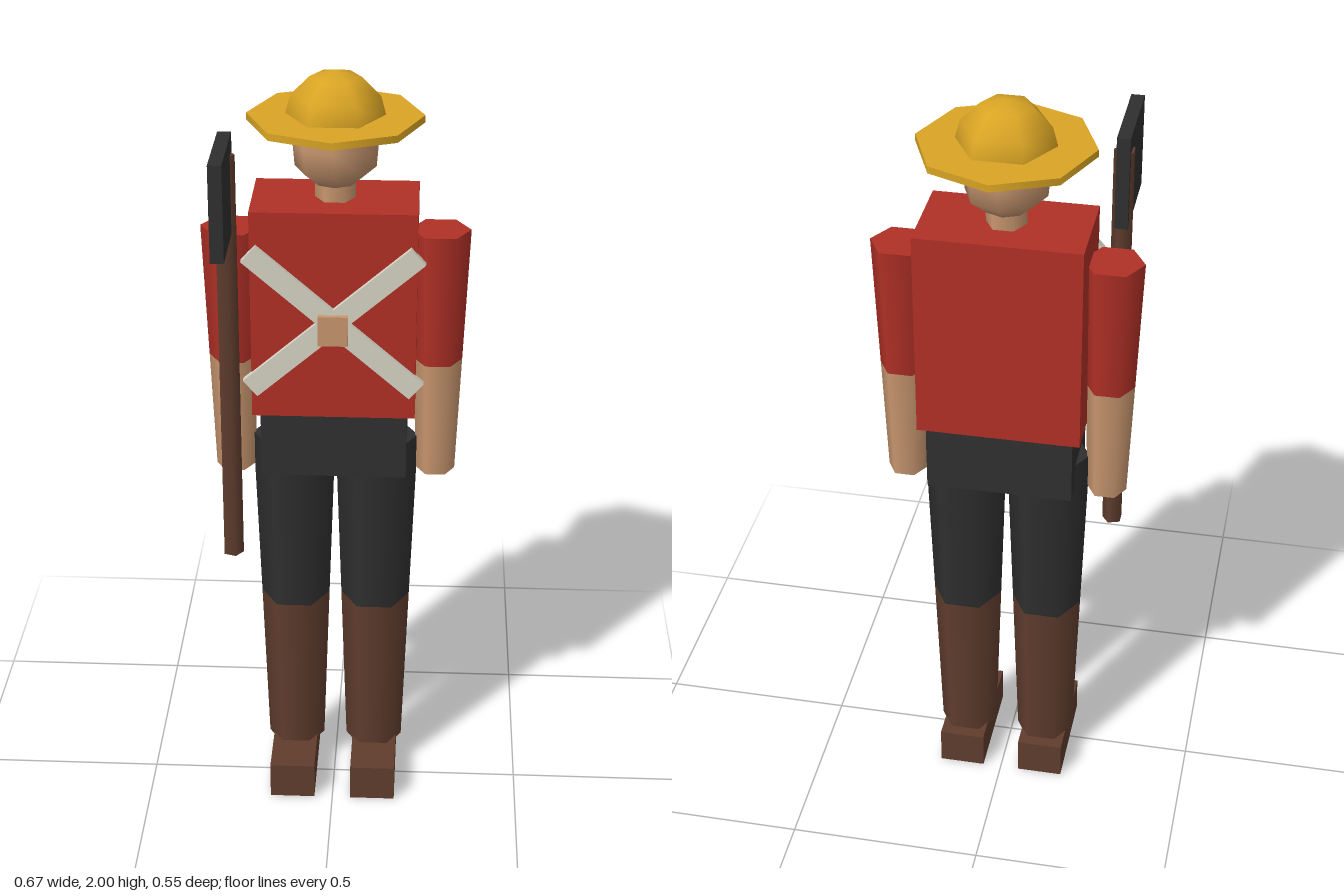
import * as THREE from 'three';

function mat(name, color) {
  const m = new THREE.MeshStandardMaterial({ color });
  m.name = name;
  return m;
}

export function createModel() {
  const root = new THREE.Group();
  root.name = 'figure';
  const red = mat('red cloth', 0xb03026);
  const dark = mat('charcoal', 0x2f2f2f);
  const brown = mat('brown leather', 0x603d2e);
  const skin = mat('skin', 0xc8966f);
  const gold = mat('straw gold', 0xdaa524);
  const strap = mat('pale strap', 0xd6d2c4);
  const Z = -0.06; // depth of the body's axis

  function add(name, geometry, material, x, y, z) {
    const mesh = new THREE.Mesh(geometry, material);
    mesh.name = name;
    mesh.position.set(x, y, z);
    root.add(mesh);
    return mesh;
  }
  const box = (name, m, w, h, d, x, y, z) =>
    add(name, new THREE.BoxGeometry(w, h, d), m, x, y, z);
  // Tapered prism between two heights, with a corner pointing along x
  const limb = (name, m, x, z, y0, y1, r0, r1, sides = 6) =>
    add(name, new THREE.CylinderGeometry(r1, r0, y1 - y0, sides, 1, false, Math.PI / 2),
      m, x, (y0 + y1) / 2, z);

  // Trunk
  box('torso', red, 0.41, 0.545, 0.238, 0, 1.408, Z);
  box('hips', dark, 0.37, 0.177, 0.212, 0, 1.048, Z);

  // Neck and head
  limb('neck', skin, 0, Z, 1.66, 1.74, 0.05, 0.05);
  const jaw = [[0, 1.708], [0.055, 1.722], [0.1, 1.76], [0.105, 1.82], [0.1, 1.885]]
    .map(([r, y]) => new THREE.Vector2(r, y));
  add('head', new THREE.LatheGeometry(jaw, 8), skin, 0, 0, Z);

  // Hat
  add('hatBrim', new THREE.CylinderGeometry(0.216, 0.216, 0.018, 8), gold, 0, 1.882, Z);
  add('hatCrown',
    new THREE.SphereGeometry(0.126, 6, 3, 0, Math.PI * 2, 0, Math.PI / 2), gold, 0, 1.874, Z);

  // Arms and legs
  for (const [side, s] of [['left', 1], ['right', -1]]) {
    limb(side + 'Sleeve', red, s * 0.26, Z, 1.25, 1.6, 0.062, 0.0755);
    limb(side + 'Forearm', skin, s * 0.26, Z, 0.937, 1.25, 0.05, 0.062);
    limb(side + 'Thigh', dark, s * 0.107, Z, 0.55, 1.03, 0.091, 0.107);
    limb(side + 'BootShaft', brown, s * 0.107, Z, 0.09, 0.55, 0.076, 0.091);
    box(side + 'Shoe', brown, 0.12, 0.1, 0.282, s * 0.109, 0.05, -0.016);
    // Crossed chest strap
    box(side + 'Strap', strap, 0.55, 0.055, 0.02, 0, 1.397, 0.063)
      .rotation.z = s * 0.715;
  }
  box('buckle', skin, 0.074, 0.078, 0.026, 0, 1.382, 0.073);

  // Long-handled tool carried at the right side
  limb('toolHandle', brown, -0.26, 0.07, 0.743, 1.83, 0.027, 0.027, 5);
  box('toolBlade', dark, 0.033, 0.24, 0.238, -0.26, 1.755, 0.156);

  return root;
}
